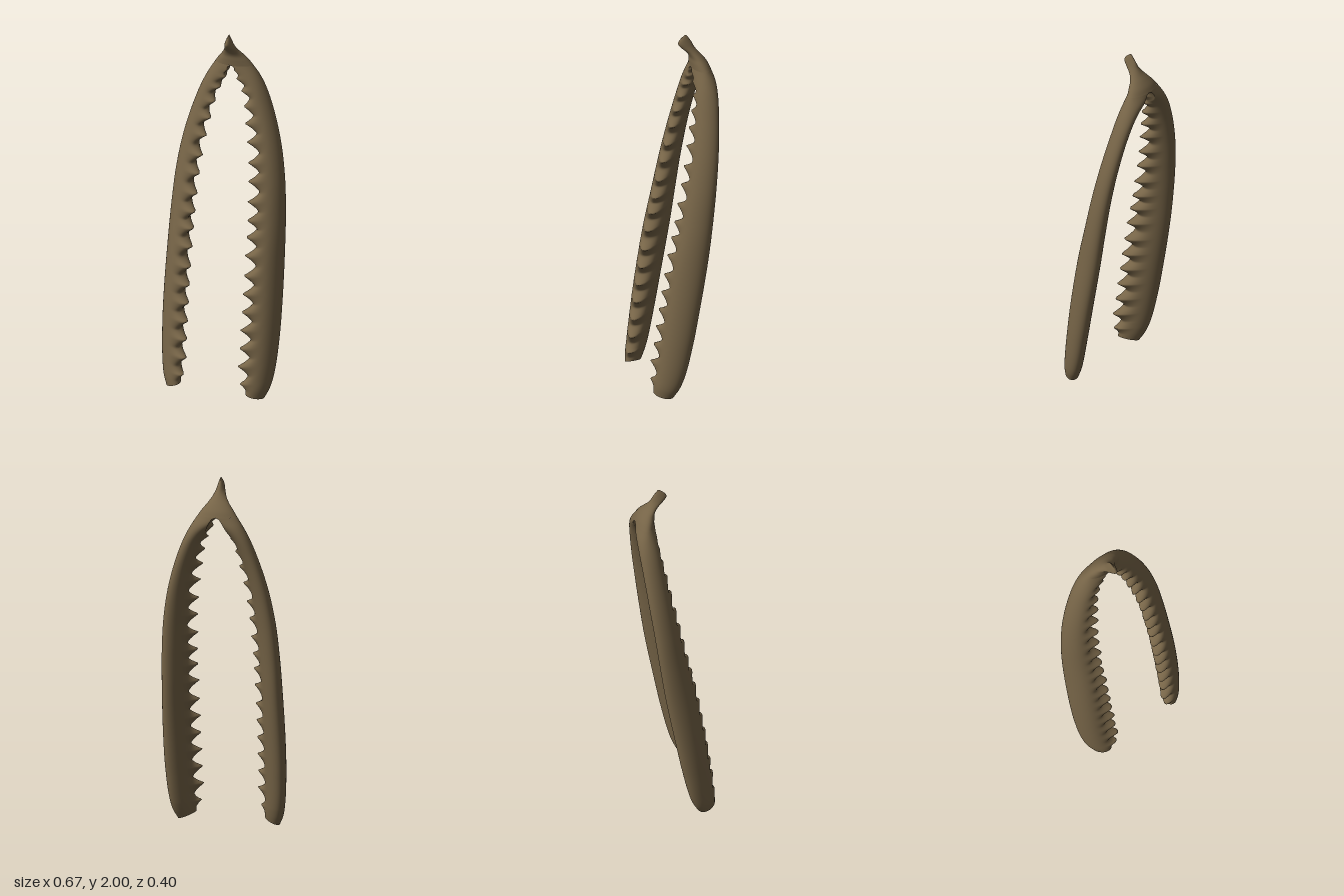
import * as THREE from 'three';

const SIDES = 48;
const JOIN = 1.81; // height where the two branches meet

// Branch sections by height: y, outer x, inner x, front z, back z, skew angle
const BRANCH = [
  [0.00, 0.280, 0.190, 0.200, 0.100, 1.15],
  [0.05, 0.302, 0.191, 0.198, 0.075, 1.12],
  [0.12, 0.317, 0.197, 0.188, 0.050, 1.12],
  [0.30, 0.332, 0.203, 0.163, 0.008, 1.14],
  [0.50, 0.336, 0.204, 0.135, -0.030, 1.15],
  [0.80, 0.331, 0.204, 0.085, -0.083, 1.15],
  [1.00, 0.324, 0.200, 0.042, -0.111, 1.15],
  [1.20, 0.308, 0.190, 0.002, -0.137, 1.17],
  [1.40, 0.273, 0.168, -0.038, -0.163, 1.22],
  [1.60, 0.213, 0.116, -0.072, -0.187, 1.30],
  [1.70, 0.171, 0.068, -0.086, -0.198, 1.42],
  [1.76, 0.138, 0.000, -0.092, -0.201, 1.52],
  [JOIN, 0.106, -0.106, -0.093, -0.194, 1.57],
];

// Bridge and beak sections: y, half width, front z, back z
const BEAK = [
  [JOIN, 0.106, -0.093, -0.194], [1.84, 0.085, -0.090, -0.180],
  [1.87, 0.061, -0.086, -0.158], [1.90, 0.040, -0.068, -0.132],
  [1.93, 0.026, -0.037, -0.111], [1.955, 0.018, -0.021, -0.099],
  [1.98, 0.010, -0.035, -0.083], [2.00, 0.002, -0.058, -0.069],
];

const TEETH = [0.08, 0.18, 0.28, 0.38, 0.48, 0.58, 0.68, 0.79, 0.89, 0.98,
  1.08, 1.19, 1.29, 1.40, 1.50, 1.59, 1.67, 1.735, 1.78];

// Smooth interpolation of the section tables
function sampler(rows) {
  const cubic = new THREE.CubicInterpolant(
    rows.map((r) => r[0]), rows.flatMap((r) => r.slice(1)), rows[0].length - 1);
  return (y) => Array.from(cubic.evaluate(y));
}

// Skin between rings of points, with smooth normals
function loft(rings, mirrored = false) {
  const n = rings[0].length, index = [];
  const points = rings.flat().flatMap(([x, y, z]) => [mirrored ? -x : x, y, z]);
  for (let i = 0; i < rings.length - 1; i++) {
    for (let j = 0; j < n; j++) {
      const a = i * n + j, b = i * n + (j + 1) % n, c = a + n, d = b + n;
      if (mirrored) index.push(a, c, b, b, c, d);
      else index.push(a, b, c, b, d, c);
    }
  }
  const geometry = new THREE.BufferGeometry();
  geometry.setAttribute('position', new THREE.Float32BufferAttribute(points, 3));
  geometry.setIndex(index);
  geometry.computeVertexNormals();
  return geometry;
}

// Ridge height of the nearest tooth, 0 to 1
function toothAt(y) {
  let h = 0;
  for (const t of TEETH) {
    const half = t > 1.6 ? 0.038 : 0.054;
    const d = Math.abs(y - t) / half;
    if (d < 1) h = Math.max(h, Math.pow(1 - d, 1.6));
  }
  return h;
}

function branchRings() {
  const at = sampler(BRANCH), rings = [], rows = 300;
  for (let i = 0; i <= rows; i++) {
    const y = JOIN * i / rows;
    const [outer, inner, front, back, skew] = at(y);
    const cx = (outer + inner) / 2, hx = (outer - inner) / 2;
    const cz = (front + back) / 2, hz = (front - back) / 2;
    const size = y > 1.5 ? THREE.MathUtils.mapLinear(y, 1.5, JOIN, 0.052, 0.016)
      : y < 0.13 ? 0.034 : 0.056;
    // The arch between the branches cuts the inner side near the join
    const arch = Math.min(0.11, 0.2 * Math.sqrt(JOIN - y));
    const ring = [];
    for (let j = 0; j < SIDES; j++) {
      const t = 2 * Math.PI * j / SIDES;
      // Teeth grow from the inner front edge and fade across the flank
      const edge = Math.max(0, Math.cos(t - Math.PI - skew * 0.38));
      const push = size * toothAt(y - 0.03 * (1 - edge)) * Math.pow(edge, 3);
      const tilt = 0.015 * (1 - Math.cos(t)) * Math.max(0, 1 - y / 0.1);
      ring.push([
        Math.max(arch, cx + hx * Math.cos(t)) - push * Math.min(1, arch / 0.03),
        y + tilt + push * 0.12,
        cz - hz * Math.cos(t - skew) + push * 0.5,
      ]);
    }
    rings.push(ring);
  }
  return rings;
}

// Hollowed lower end: rim, then inward and slightly up to the middle
function endRings(rim) {
  const mid = [0, 1, 2].map((k) => rim.reduce((s, p) => s + p[k], 0) / rim.length);
  return [[0.001, 0.014], [0.7, 0.01], [0.85, 0.003], [1, 0]].map(([f, lift]) =>
    rim.map((p) => p.map((v, k) => mid[k] + (v - mid[k]) * f + (k === 1 ? lift : 0))));
}

function beakRings() {
  const at = sampler(BEAK), rings = [], rows = 50;
  for (let i = 0; i <= rows; i++) {
    const y = JOIN + (2 - JOIN) * i / rows;
    const [half, front, back] = at(y);
    const ring = [];
    for (let j = 0; j < SIDES; j++) {
      const t = 2 * Math.PI * j / SIDES;
      ring.push([half * Math.cos(t), y,
        (front + back) / 2 - (front - back) / 2 * Math.sin(t)]);
    }
    rings.push(ring);
  }
  // Close the tip
  rings.push(rings[rows].map(() => [0, 2, -0.0635]));
  return rings;
}

export function createModel() {
  const group = new THREE.Group();
  const bone = new THREE.MeshStandardMaterial({ color: 0x766447 });
  bone.name = 'brown bone';
  const add = (name, geometry) => {
    const mesh = new THREE.Mesh(geometry, bone);
    mesh.name = name;
    group.add(mesh);
  };

  const branch = branchRings(), end = endRings(branch[0]);
  for (const [side, mirrored] of [['left', false], ['right', true]]) {
    add(side + 'ToothedBranch', loft(branch, mirrored));
    add(side + 'BranchEnd', loft(end, mirrored));
  }
  add('bridgeAndBeak', loft(beakRings()));
  return group;
}
